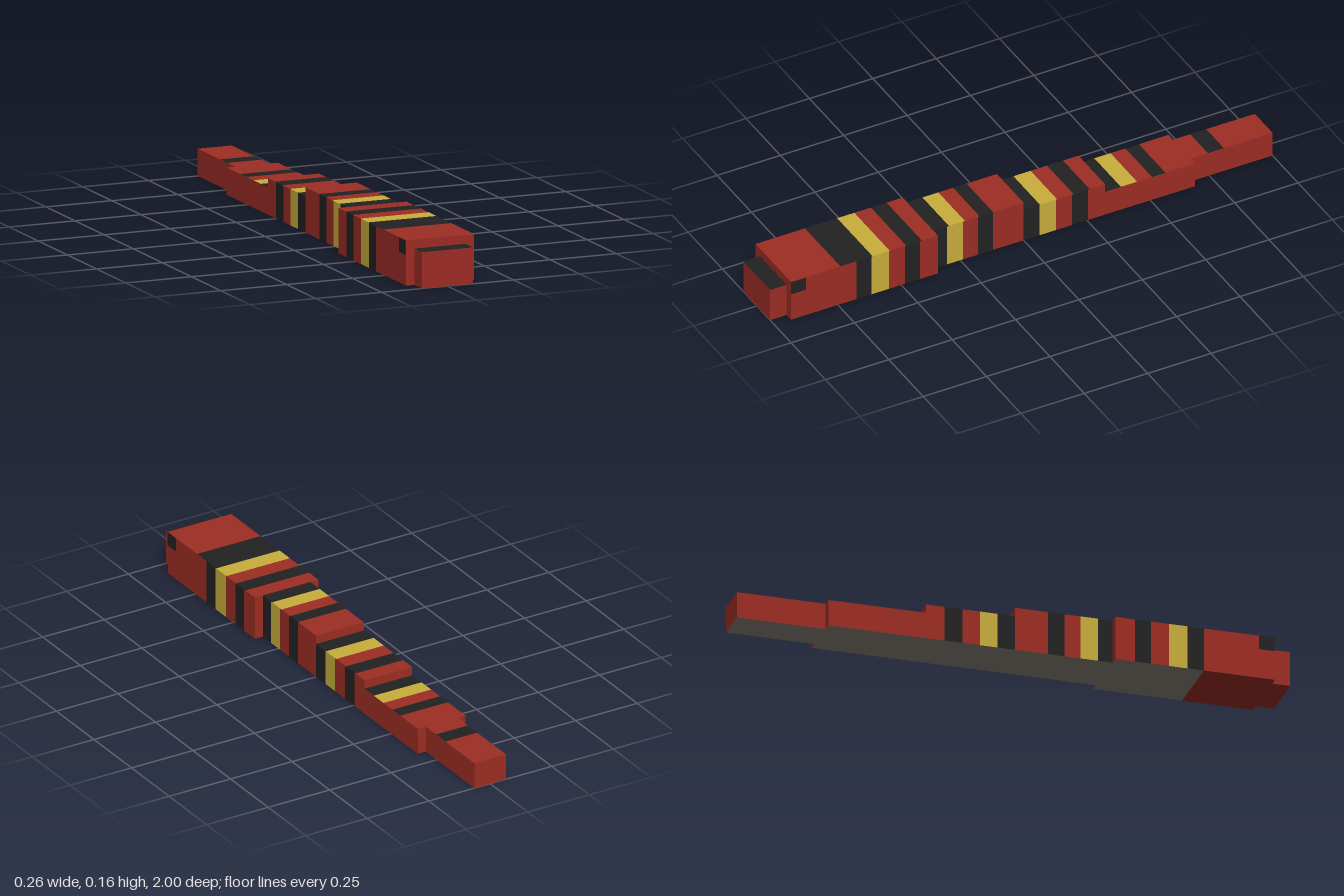
import * as THREE from 'three';

const paint = (name, color) => {
  const m = new THREE.MeshStandardMaterial({ color });
  m.name = name;
  return m;
};

export function createModel() {
  const R = paint('red scales', 0x9d2d24);
  const K = paint('black bands', 0x222222);
  const Y = paint('yellow bands', 0xc8ae3c);
  const G = paint('grey belly', 0x8a8378);

  // Body sections from nose to tail. Band lists run front to back as
  // [colour, z where the band ends].
  const sections = [
    { name: 'snout', w: 0.194, h: 0.129, z: [1, 0.935],
      top: [[K, 0.935]], side: [[R, 0.935]], belly: [[R, 0.935]] },
    { name: 'head', w: 0.258, h: 0.161, z: [0.935, 0.355],
      top: [[R, 0.74], [K, 0.613], [Y, 0.545], [R, 0.48], [K, 0.418], [R, 0.355]],
      side: [[R, 0.677], [K, 0.617], [Y, 0.549], [R, 0.485], [K, 0.426], [R, 0.355]],
      belly: [[R, 0.677], [G, 0.355]] },
    { name: 'frontBody', w: 0.194, h: 0.161, z: [0.355, 0],
      top: [[K, 0.294], [Y, 0.231], [R, 0.173], [K, 0.12], [R, 0]],
      side: [[K, 0.302], [Y, 0.239], [R, 0.18], [K, 0.12], [R, 0]], belly: [[G, 0]] },
    { name: 'middleBody', w: 0.194, h: 0.129, z: [0, -0.322],
      top: [[K, -0.065], [Y, -0.133], [R, -0.198], [K, -0.261], [R, -0.322]],
      side: [[K, -0.063], [Y, -0.127], [R, -0.191], [K, -0.255], [R, -0.322]], belly: [[G, -0.322]] },
    { name: 'rearBody', w: 0.194, h: 0.097, z: [-0.322, -0.677],
      top: [[K, -0.384], [Y, -0.448], [R, -0.507], [K, -0.56], [R, -0.677]],
      side: [[R, -0.677]], belly: [[G, -0.677]] },
    { name: 'tail', w: 0.129, h: 0.097, z: [-0.677, -1],
      top: [[R, -0.745], [K, -0.808], [R, -1]], side: [[R, -1]], belly: [[G, -1]] },
  ];

  const model = new THREE.Group();
  model.name = 'snake';

  // One flat rectangle of skin
  const panel = (group, name, mat, w, h, pos, rot) => {
    const mesh = new THREE.Mesh(new THREE.PlaneGeometry(w, h), mat);
    mesh.name = name;
    mesh.position.set(...pos);
    mesh.rotation.set(...rot);
    group.add(mesh);
  };
  const eachBand = (start, bands, fn) => {
    for (const [mat, end] of bands) {
      fn(mat, start - end, (start + end) / 2);
      start = end;
    }
  };
  const q = Math.PI / 2;

  for (const { name, w, h, z: [front, back], top, side, belly } of sections) {
    const g = new THREE.Group();
    g.name = name;
    eachBand(front, top, (m, len, z) => panel(g, 'topBand', m, w, len, [0, h, z], [-q, 0, 0]));
    eachBand(front, belly, (m, len, z) => panel(g, 'bellyPanel', m, w, len, [0, 0, z], [q, 0, 0]));
    for (const s of [-1, 1])
      eachBand(front, side, (m, len, z) => panel(g, 'sideBand', m, len, h, [s * w / 2, h / 2, z], [0, s * q, 0]));
    panel(g, 'frontFace', R, w, h, [0, h / 2, front], [0, 0, 0]);
    panel(g, 'backFace', R, w, h, [0, h / 2, back], [0, Math.PI, 0]);
    model.add(g);
  }

  // Eyes at the upper front corners of the head
  for (const s of [-1, 1])
    panel(model, s > 0 ? 'leftEye' : 'rightEye', K, 0.058, 0.052, [s * 0.1305, 0.135, 0.906], [0, s * q, 0]);

  return model;
}
